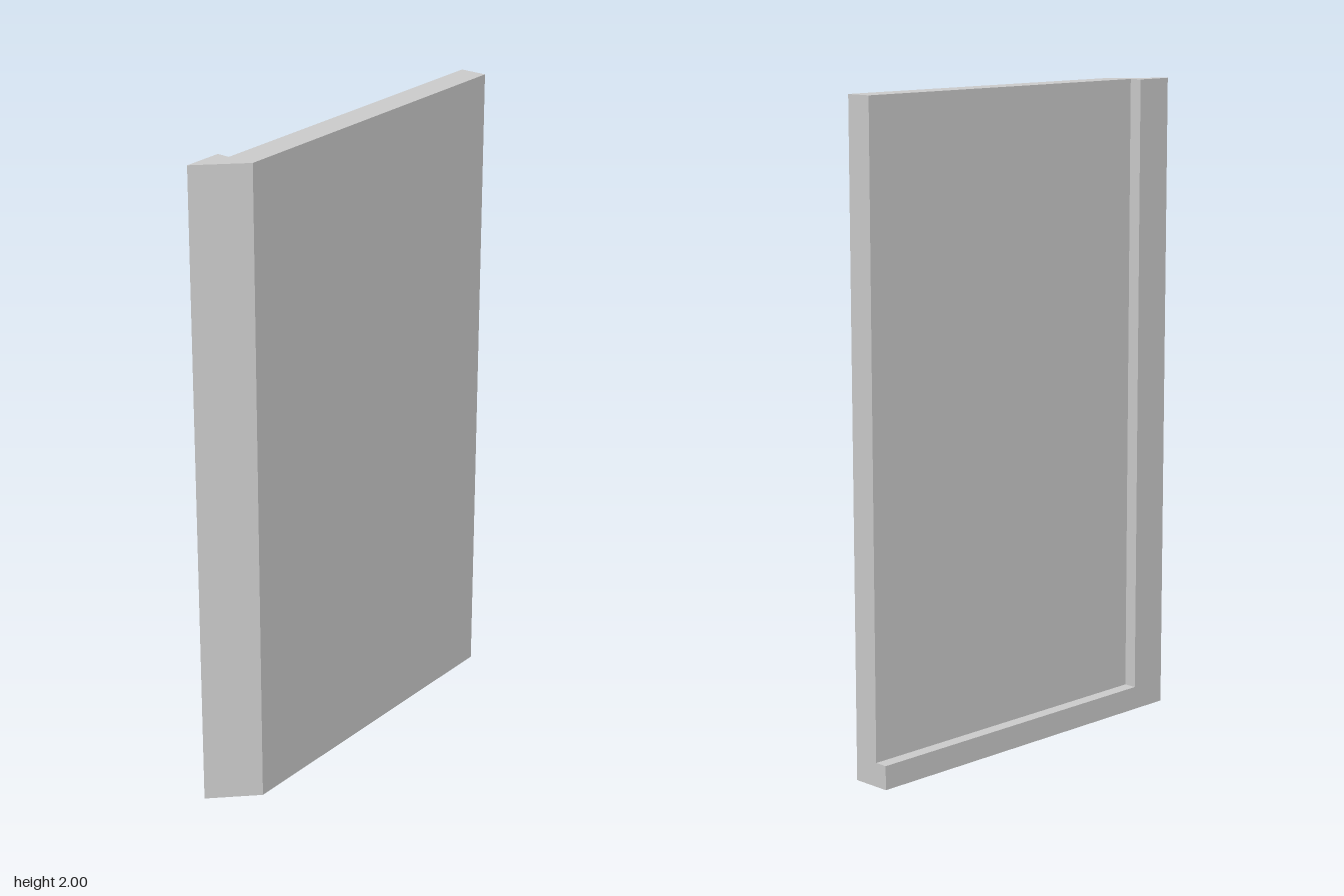
import * as THREE from 'three';

const X = 0.0625;        // half thickness
const BACK = -0.6, FRONT = 0.6, STILE = 0.475;
const RECESS = -0.022;   // depth plane of the recessed face
const RAIL = 0.073;      // height of the bottom rail

export function createModel() {
  const group = new THREE.Group();
  const material = new THREE.MeshStandardMaterial({ color: 0xcccccc, flatShading: true });

  // Panel with mitred front edge and full-height stile: plan outline (x, z) extruded upwards
  const plan = [
    [RECESS, BACK], [X, BACK], [X, STILE], [-X, FRONT], [-X, STILE], [RECESS, STILE],
  ];
  const shape = new THREE.Shape(plan.map(([x, z]) => new THREE.Vector2(x, -z)));
  const panelGeometry = new THREE.ExtrudeGeometry(shape, { depth: 2, bevelEnabled: false });
  panelGeometry.rotateX(-Math.PI / 2);
  const panel = new THREE.Mesh(panelGeometry, material);
  panel.name = 'mitredPanel';
  group.add(panel);

  // Rail closing the bottom of the recess
  const rail = new THREE.Mesh(new THREE.BoxGeometry(RECESS + X, RAIL, STILE - BACK), material);
  rail.position.set((RECESS - X) / 2, RAIL / 2, (STILE + BACK) / 2);
  rail.name = 'bottomRail';
  group.add(rail);

  return group;
}
